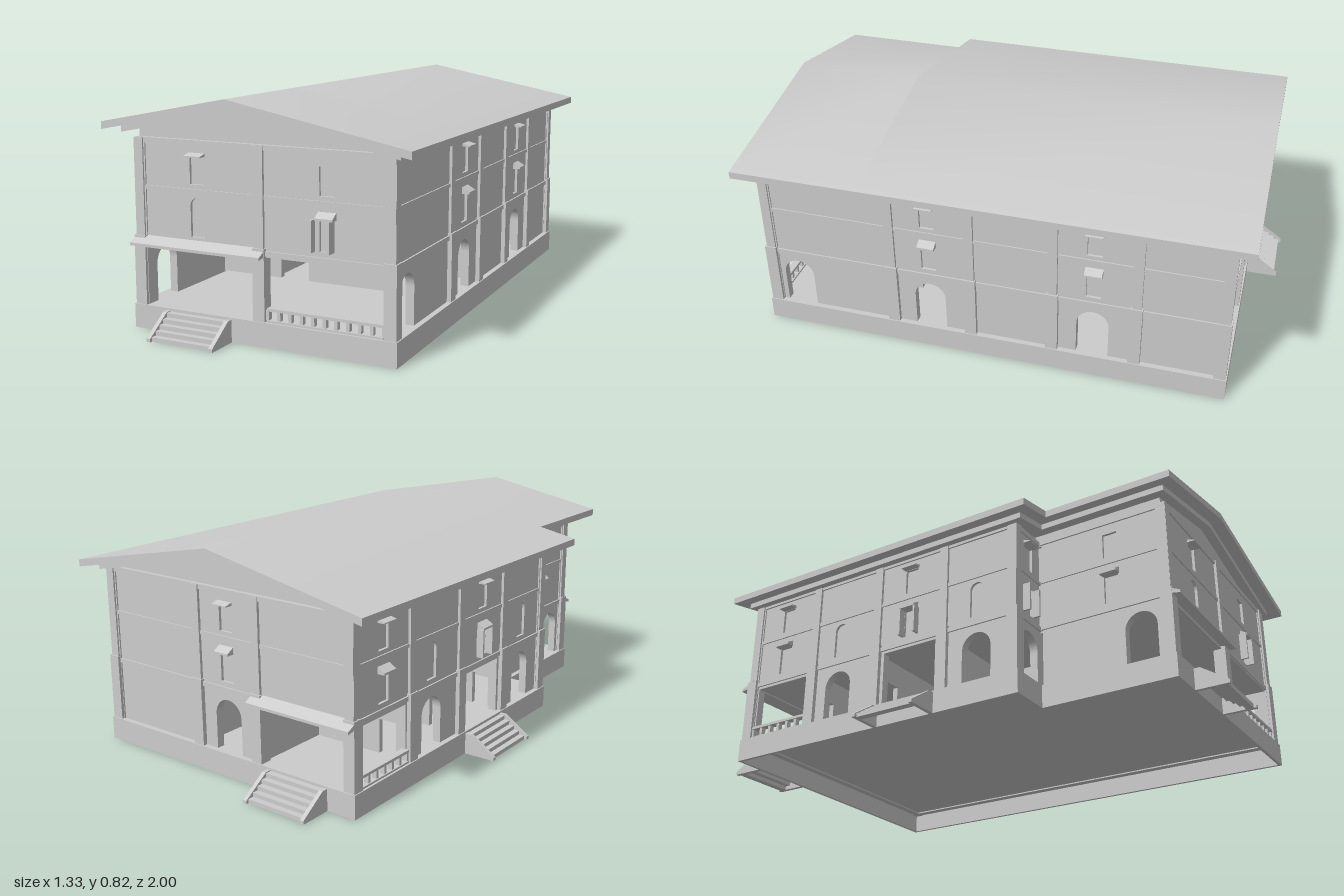
import * as THREE from 'three';
import { toCreasedNormals } from 'three/addons/utils/BufferGeometryUtils.js';

const stone = new THREE.MeshStandardMaterial({ color: 0xcccccc });
stone.name = 'stone grey';

function add(parent, name, geo, x = 0, y = 0, z = 0) {
  const m = new THREE.Mesh(geo, stone);
  m.name = name;
  m.position.set(x, y, z);
  parent.add(m);
  return m;
}
// box given by its limits
function block(parent, name, x0, x1, y0, y1, z0, z1) {
  return add(parent, name, new THREE.BoxGeometry(x1 - x0, y1 - y0, z1 - z0),
    (x0 + x1) / 2, (y0 + y1) / 2, (z0 + z1) / 2);
}
const toVectors = points => points.map(p => new THREE.Vector2(p[0], p[1]));
function prism(points, depth, inner) {
  const s = new THREE.Shape(toVectors(points));
  if (inner) s.holes.push(new THREE.Path(toVectors(inner)));
  return new THREE.ExtrudeGeometry(s, { depth, bevelEnabled: false });
}
// opening = [centre, width, bottom, top, arched]
function hole([c, w, y0, y1, arched]) {
  const p = new THREE.Path(), r = w / 2;
  p.moveTo(c - r, y0);
  p.lineTo(c + r, y0);
  if (arched) {
    p.lineTo(c + r, y1 - r);
    p.absarc(c, y1 - r, r, 0, Math.PI, false);
  } else {
    p.lineTo(c + r, y1);
    p.lineTo(c - r, y1);
  }
  p.closePath();
  return p;
}
function wall(parent, name, u0, u1, y0, y1, z0, t, openings) {
  const s = new THREE.Shape();
  s.moveTo(u0, y0); s.lineTo(u1, y0); s.lineTo(u1, y1); s.lineTo(u0, y1); s.closePath();
  s.holes = openings.map(hole);
  add(parent, name, new THREE.ExtrudeGeometry(s, { depth: t, bevelEnabled: false, curveSegments: 12 }), 0, 0, z0);
}
const door = c => [c, 0.118, 0.085, 0.275, true];
const win = c => [c, 0.055, 0.34, 0.45];
const archWin = c => [c, 0.055, 0.34, 0.475, true];
const topWin = c => [c, 0.055, 0.52, 0.615];

// one outside face; local x runs along it, local z points outward
function facade(root, name, turn, d, u0, u1, o) {
  const g = new THREE.Group();
  g.name = name;
  g.rotation.y = turn;
  root.add(g);
  wall(g, 'wall', u0 + 0.015, u1 - 0.015, 0.07, 0.668, d - 0.05, 0.03, o.openings);
  for (const c of o.pilasters) {
    block(g, 'lowerPilaster', c - 0.022, c + 0.022, 0.08, 0.33, d - 0.045, d - 0.004);
    block(g, 'upperPilaster', c - 0.017, c + 0.017, 0.33, 0.668, d - 0.045, d - 0.01);
  }
  block(g, 'floorBand', u0 + 0.012, u1 - 0.012, 0.305, 0.322, d - 0.04, d - 0.014);
  block(g, 'upperBand', u0 + 0.012, u1 - 0.012, 0.492, 0.505, d - 0.04, d - 0.015);
  block(g, 'topBand', u0 + 0.012, u1 - 0.012, 0.652, 0.67, d - 0.04, d - 0.014);
  for (const [c, y, h] of o.hoods) {
    const geo = prism([[0, -h / 2], [0.038, -h / 2], [0.038, -h / 4], [0, h / 2]], 0.064);
    geo.rotateY(-Math.PI / 2);
    add(g, 'windowHood', geo, c + 0.032, y, d - 0.03);
  }
  for (const c of o.shutters || [])
    for (const s of [-1, 1])
      block(g, 'shutter', c + s * 0.032 - 0.004, c + s * 0.032 + 0.004, 0.34, 0.445, d - 0.03, d + 0.008);
  if (o.canopy) {
    const [a, b] = o.canopy;
    const geo = prism([[0, -0.012], [0.055, -0.022], [0.055, -0.012], [0, 0.014]], b - a);
    geo.rotateY(-Math.PI / 2);
    add(g, 'porchCanopy', geo, b, 0.32, d - 0.03);
  }
  if (o.railing) {
    const [a, b] = o.railing;
    block(g, 'railTop', a, b, 0.123, 0.133, d - 0.035, d - 0.008);
    block(g, 'railFoot', a, b, 0.083, 0.092, d - 0.035, d - 0.008);
    const n = Math.round((b - a) / 0.042);
    for (let i = 0; i <= n; i++) {
      const x = a + (b - a) * i / n;
      block(g, 'baluster', x - 0.006, x + 0.006, 0.09, 0.125, d - 0.03, d - 0.012);
    }
  }
  if (o.stairs) {
    const [a, b] = o.stairs;
    for (let i = 0; i < 5; i++)
      block(g, 'step', a + 0.01, b - 0.01, 0.015 * (4 - i), 0.015 * (5 - i), d - 0.005 + 0.022 * i, d + 0.022 * (i + 1));
    for (const x of [a + 0.015, b]) {
      const geo = prism([[0, 0], [0.12, 0], [0.12, 0.012], [0.022, 0.078], [0, 0.078]], 0.015);
      geo.rotateY(-Math.PI / 2);
      add(g, 'stairCheek', geo, x, 0, d);
    }
  }
}

// L-shaped layer of the base, shrunk by m on every side
const footprint = m => [[-0.55 + m, 0.88 - m], [-0.55 + m, -0.38 + m], [-0.39 + m, -0.38 + m],
  [-0.39 + m, -0.88 + m], [0.6 - m, -0.88 + m], [0.6 - m, 0.88 - m]];
function baseLayer(root, name, y, height, outer, inner) {
  const geo = prism(outer, height, inner);
  geo.rotateX(-Math.PI / 2);
  add(root, name, geo, 0, y);
}

// pitched slab following the roof slope
const RIDGE = 0.02, SLOPE = 0.195;
const pitch = (x, top) => top - SLOPE * Math.abs(x - RIDGE);
function roofSlab(root, name, xl, xr, top, t, z0, z1) {
  const pts = [[xl, pitch(xl, top) - t], [RIDGE, top - t], [xr, pitch(xr, top) - t],
    [xr, pitch(xr, top)], [RIDGE, top], [xl, pitch(xl, top)]];
  add(root, name, toCreasedNormals(prism(pts, z1 - z0), 0.7), 0, 0, z0);
}

export function createModel() {
  const root = new THREE.Group();
  root.name = 'house';

  // hollow plinth, open below, carrying the ground floor
  baseLayer(root, 'plinthSkirt', 0, 0.085, footprint(0), footprint(0.012));
  baseLayer(root, 'groundFloor', 0.075, 0.01, footprint(0.01));

  // closed upper storeys behind the windows, also the porch ceilings
  block(root, 'upperCore', -0.52, 0.57, 0.3, 0.66, -0.85, 0.35);
  block(root, 'frontUpperCore', -0.36, 0.57, 0.3, 0.66, 0.35, 0.85);

  // outside faces
  const H = Math.PI / 2;
  facade(root, 'frontFace', 0, 0.88, -0.39, 0.6, {
    openings: [[-0.13, 0.43, 0.085, 0.295], [0.34, 0.43, 0.085, 0.3], archWin(-0.135), topWin(-0.135), win(0.35), topWin(0.35)],
    pilasters: [-0.364, 0.105, 0.574], hoods: [[-0.135, 0.623, 0.014], [0.35, 0.461, 0.03]],
    shutters: [0.335], canopy: [-0.385, 0.125], railing: [0.134, 0.55], stairs: [-0.257, 0.002],
  });
  facade(root, 'wingFrontFace', 0, 0.38, -0.55, -0.35, {
    openings: [door(-0.442), win(-0.442), topWin(-0.442)],
    pilasters: [-0.524], hoods: [[-0.442, 0.623, 0.014]], shutters: [-0.442],
  });
  facade(root, 'leftFace', H, 0.6, -0.88, 0.88, {
    openings: [door(-0.753), door(-0.225), door(0.388), win(-0.225), win(0.388), topWin(-0.225), topWin(0.388)],
    pilasters: [-0.854, -0.37, -0.068, 0.24, 0.545, 0.854],
    hoods: [[-0.225, 0.461, 0.03], [0.388, 0.461, 0.03], [-0.225, 0.623, 0.014], [0.388, 0.623, 0.014]],
  });
  facade(root, 'backFace', Math.PI, 0.88, -0.6, 0.55, {
    openings: [door(-0.01), [0.33, 0.36, 0.085, 0.295], win(-0.01), topWin(-0.01)],
    pilasters: [-0.574, -0.145, 0.128, 0.524],
    hoods: [[-0.01, 0.461, 0.03], [-0.01, 0.623, 0.014]],
    canopy: [0.11, 0.545], stairs: [0.178, 0.437],
  });
  facade(root, 'rightFace', -H, 0.55, -0.88, 0.38, {
    openings: [[-0.7, 0.25, 0.085, 0.295], door(-0.42), [-0.09, 0.23, 0.085, 0.295], door(0.2),
      win(-0.7), archWin(-0.42), win(-0.09), archWin(0.2), topWin(-0.7), topWin(-0.09)],
    pilasters: [-0.854, -0.545, -0.24, 0.06, 0.354],
    hoods: [[-0.7, 0.461, 0.03], [-0.09, 0.461, 0.03], [-0.7, 0.623, 0.014], [-0.09, 0.623, 0.014]],
    shutters: [-0.09], railing: [-0.83, -0.57], stairs: [-0.222, 0.037],
  });
  facade(root, 'rightFrontFace', -H, 0.39, 0.36, 0.88, {
    openings: [door(0.753), win(0.65), topWin(0.65)],
    pilasters: [0.854], hoods: [[0.65, 0.461, 0.03]],
  });

  // ground floor partitions
  wall(root, 'porchBackWall', -0.38, 0.57, 0.08, 0.31, 0.335, 0.025, [door(-0.04), door(0.442)]);
  for (const z of [0.05, -0.25, -0.56])
    wall(root, 'crossWall', -0.51, 0.56, 0.08, 0.31, z, 0.02, [[-0.445, 0.07, 0.085, 0.21], [0.035, 0.07, 0.085, 0.21]]);
  for (const x of [-0.13, 0.15])
    block(root, 'longWall', x - 0.01, x + 0.01, 0.08, 0.31, -0.84, 0.34);

  // gable fill under the roof
  const attic = (name, xl, z0, z1) => add(root, name,
    prism([[xl, 0.65], [0.58, 0.65], [0.58, pitch(0.58, 0.785)], [RIDGE, 0.785], [xl, pitch(xl, 0.785)]], z1 - z0), 0, 0, z0);
  attic('attic', -0.53, -0.85, 0.35);
  attic('frontAttic', -0.37, 0.35, 0.85);

  // roof with a lower layer of boarding
  roofSlab(root, 'roof', -0.62, 0.664, 0.818, 0.026, -0.93, 0.45);
  roofSlab(root, 'frontRoof', -0.468, 0.664, 0.818, 0.026, 0.45, 0.93);
  roofSlab(root, 'roofBoarding', -0.57, 0.61, 0.793, 0.022, -0.885, 0.405);
  roofSlab(root, 'frontRoofBoarding', -0.42, 0.61, 0.793, 0.022, 0.405, 0.885);
  return root;
}
